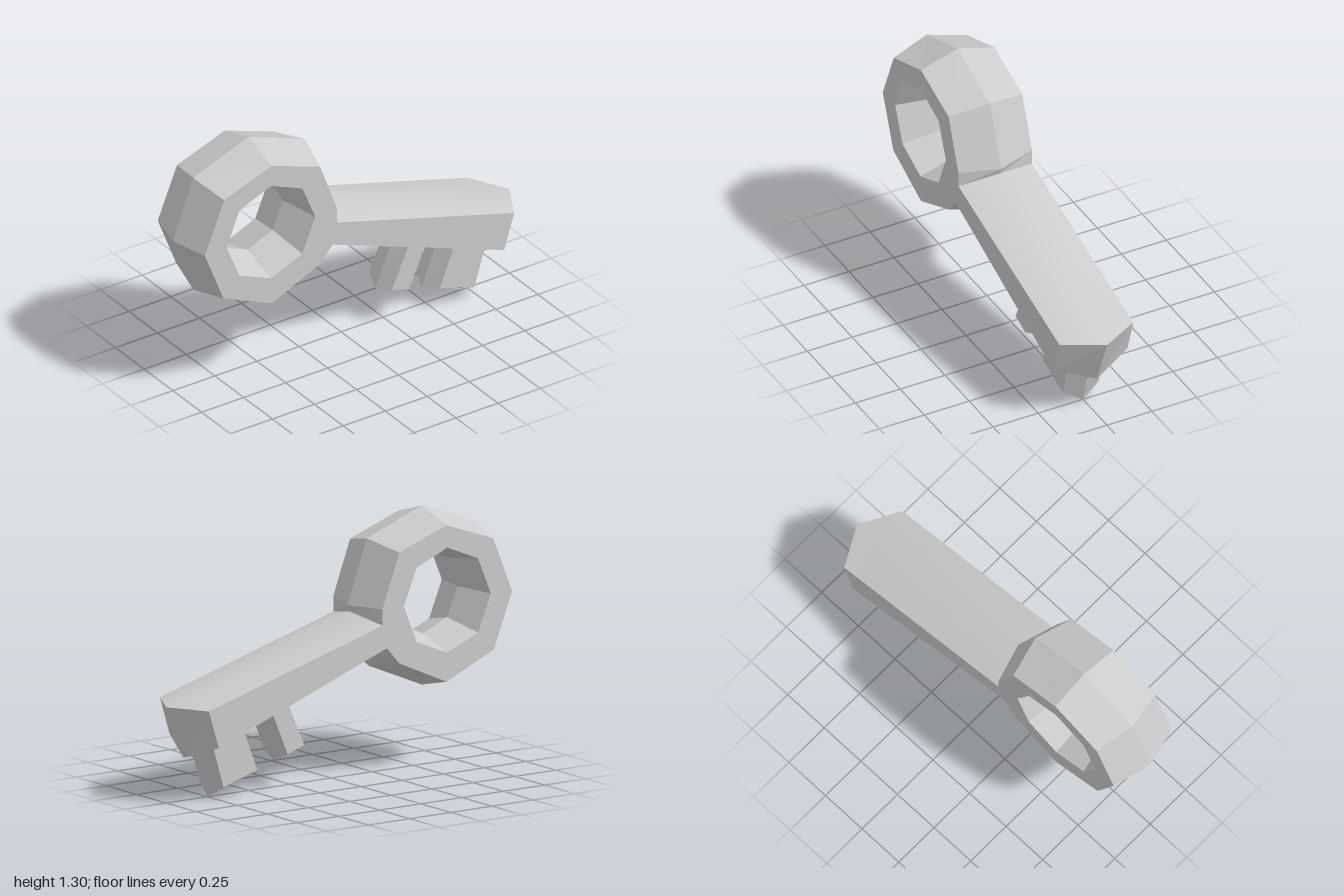
import * as THREE from 'three';

const material = new THREE.MeshStandardMaterial({ color: 0xcccccc, flatShading: true });
const smoothMaterial = new THREE.MeshStandardMaterial({ color: 0xcccccc });

// Mesh from vertices and triangle indices; smooth blends normals between its faces
function makeMesh(name, vertices, index, smooth = false) {
  let geometry = new THREE.BufferGeometry();
  geometry.setAttribute('position', new THREE.Float32BufferAttribute(vertices.flat(), 3));
  geometry.setIndex(index);
  if (!smooth) geometry = geometry.toNonIndexed();
  geometry.computeVertexNormals();
  const mesh = new THREE.Mesh(geometry, smooth ? smoothMaterial : material);
  mesh.name = name;
  return mesh;
}

// Bevelled wall running along a contour: front edge, middle ridge, back edge
function wall(name, face, ridge, depth, edges, smooth) {
  const n = face.length, vertices = [], index = [];
  for (const i of edges) {
    const j = (i + 1) % n, b = vertices.length;
    for (const k of [i, j]) vertices.push([...face[k], depth], [...ridge[k], 0], [...face[k], -depth]);
    for (const r of [0, 1]) index.push(b + r, b + r + 1, b + r + 4, b + r, b + r + 4, b + r + 3);
  }
  return makeMesh(name, vertices, index, smooth);
}

// Flat front and back faces with an optional hole
function plates(name, face, hole, depth) {
  const toV = (p) => new THREE.Vector2(...p);
  const tris = THREE.ShapeUtils.triangulateShape(face.map(toV), hole.length ? [hole.map(toV)] : []);
  const all = [...face, ...hole], n = all.length;
  const vertices = [...all.map((p) => [...p, depth]), ...all.map((p) => [...p, -depth])];
  const index = [];
  for (const [a, b, c] of tris) {
    const [p, q, r] = [all[a], all[b], all[c]];
    const ccw = (q[0] - p[0]) * (r[1] - p[1]) - (q[1] - p[1]) * (r[0] - p[0]) > 0;
    const [s, t] = ccw ? [b, c] : [c, b];
    index.push(a, s, t, a + n, t + n, s + n);
  }
  return makeMesh(name, vertices, index);
}

// Clockwise octagon, so its wall faces into the hole
function octagon(cx, cy, radius) {
  return Array.from({ length: 8 }, (_, i) => {
    const a = -i * Math.PI / 4;
    return [cx + radius * Math.cos(a), cy + radius * Math.sin(a)];
  });
}

function tooth(name, face, ridge) {
  const group = new THREE.Group();
  group.name = name;
  group.add(wall(name + 'Sides', face, ridge, 0.1, [0, 1, 2, 3]), plates(name + 'Faces', face, [], 0.1));
  return group;
}

export function createModel() {
  const key = new THREE.Group();
  key.name = 'key';
  const depth = 0.205;

  // Outline of bow and shaft, counter-clockwise from the bow's right corner
  const ridge = [
    [-0.1, 0.855], [-0.217, 1.176], [-0.55, 1.3], [-0.88, 1.176], [-1, 0.855], [-0.877, 0.535],
    [-0.55, 0.4], [-0.228, 0.535], [-0.18, 0.6], [0.895, 0.214], [1, 0.481], [-0.11, 0.823],
  ];
  const face = [
    [-0.163, 0.86], [-0.265, 1.134], [-0.552, 1.235], [-0.835, 1.134], [-0.95, 0.855], [-0.84, 0.575],
    [-0.552, 0.449], [-0.265, 0.577], [-0.19, 0.663], [0.83, 0.289], [0.89, 0.481], [-0.163, 0.78],
  ];
  const holeFace = octagon(-0.557, 0.858, 0.264);
  const holeRidge = octagon(-0.556, 0.868, 0.211);

  key.add(plates('keyFaces', face, holeFace, depth));
  key.add(wall('bowRim', face, ridge, depth, [0, 1, 2, 3, 4, 5, 6, 7, 11]));
  key.add(wall('bowHole', holeFace, holeRidge, depth, [0, 1, 2, 3, 4, 5, 6, 7]));
  key.add(wall('shaftBottom', face, ridge, depth, [8], true));
  key.add(wall('shaftEnd', face, ridge, depth, [9]));
  key.add(wall('shaftTop', face, ridge, depth, [10], true));

  // Teeth, with their tops sunk into the shaft
  key.add(tooth('narrowTooth',
    [[0.235, 0.213], [0.336, 0.178], [0.455, 0.46], [0.36, 0.49]],
    [[0.206, 0.182], [0.352, 0.132], [0.48, 0.46], [0.33, 0.49]]));
  key.add(tooth('wideTooth',
    [[0.52, 0.123], [0.725, 0.06], [0.815, 0.36], [0.645, 0.44]],
    [[0.478, 0.086], [0.75, 0], [0.848, 0.37], [0.617, 0.45]]));
  return key;
}
